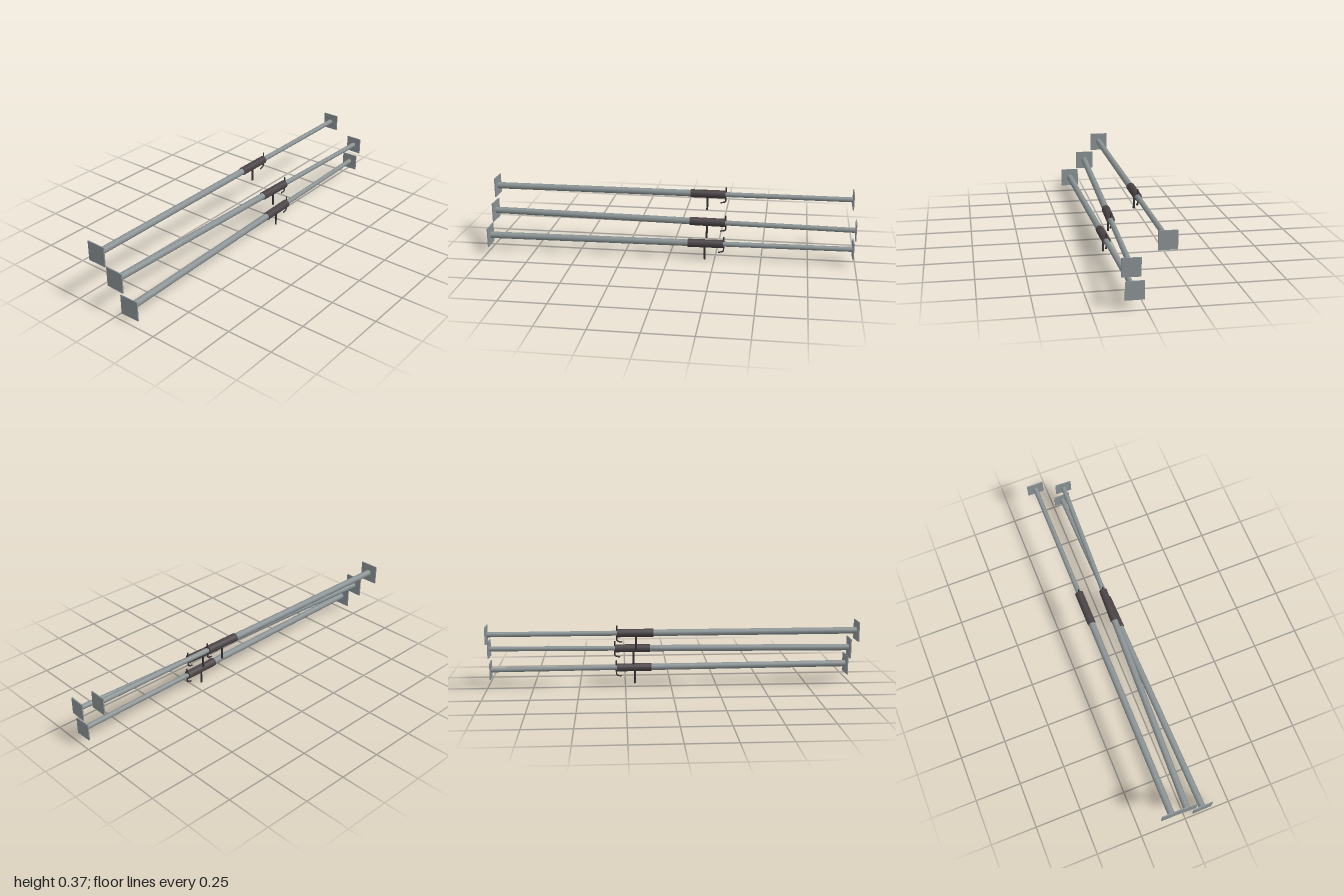
import * as THREE from 'three';

const steel = new THREE.MeshStandardMaterial({ name: 'galvanised steel', color: 0x8a9294 });
const collarMat = new THREE.MeshStandardMaterial({ name: 'dark collar', color: 0x4a4345 });
const ironMat = new THREE.MeshStandardMaterial({ name: 'black iron', color: 0x343234 });

function add(group, name, geometry, material, x = 0, y = 0, z = 0) {
  const mesh = new THREE.Mesh(geometry, material);
  mesh.name = name;
  mesh.position.set(x, y, z);
  group.add(mesh);
  return mesh;
}

// Tube along x between two distances from the base
function rodX(radius, from, to) {
  return new THREE.CylinderGeometry(radius, radius, to - from, 16)
    .rotateZ(-Math.PI / 2)
    .translate((from + to) / 2, 0, 0);
}

// One adjustable prop lying along +x, its base plate at x = 0
function createProp(length) {
  const prop = new THREE.Group();
  prop.name = 'prop';

  // End plates
  add(prop, 'basePlate', new THREE.BoxGeometry(0.006, 0.106, 0.106), steel, 0.003);
  add(prop, 'headPlate', new THREE.BoxGeometry(0.006, 0.091, 0.091), steel, length - 0.003);

  // Telescoping tubes
  add(prop, 'outerTube', rodX(0.018, 0.004, 1.12), steel);
  add(prop, 'innerTube', rodX(0.0135, 1.0, length - 0.004), steel);

  // Threaded adjusting collar
  add(prop, 'collar', rodX(0.0222, 1.1, 1.292), collarMat);

  // Turning handle hanging below the collar
  add(prop, 'handle', new THREE.CylinderGeometry(0.0055, 0.0055, 0.08, 12), ironMat, 1.192, -0.051);

  // Locking pin through the inner tube, bent into a hook underneath
  const pinPath = new THREE.CurvePath();
  const points = [[0, 0.038], [0, -0.036], [-0.005, -0.044], [-0.026, -0.048]]
    .map(([x, y]) => new THREE.Vector3(x, y, 0));
  for (let i = 0; i < points.length - 1; i++) pinPath.add(new THREE.LineCurve3(points[i], points[i + 1]));
  add(prop, 'lockingPin', new THREE.TubeGeometry(pinPath, 24, 0.004, 8, false), ironMat, 1.294);
  add(prop, 'pinTop', new THREE.SphereGeometry(0.004, 8, 6), ironMat, 1.294, 0.038);
  add(prop, 'pinTip', new THREE.SphereGeometry(0.004, 8, 6), ironMat, 1.268, -0.048);
  return prop;
}

export function createModel() {
  const model = new THREE.Group();
  model.name = 'adjustableProps';

  // Base x, height, base z and head z of each prop
  const layout = [
    ['upperProp', -1.0, 0.321, -0.096, -0.098],
    ['middleProp', -0.987, 0.207, 0.001, 0.069],
    ['lowerProp', -0.995, 0.093, 0.096, 0.051],
  ];
  const length = 1.984;
  for (const [name, x, y, z0, z1] of layout) {
    const prop = createProp(length);
    prop.name = name;
    prop.position.set(x, y, z0);
    prop.rotation.y = -Math.asin((z1 - z0) / length);
    model.add(prop);
  }
  return model;
}
